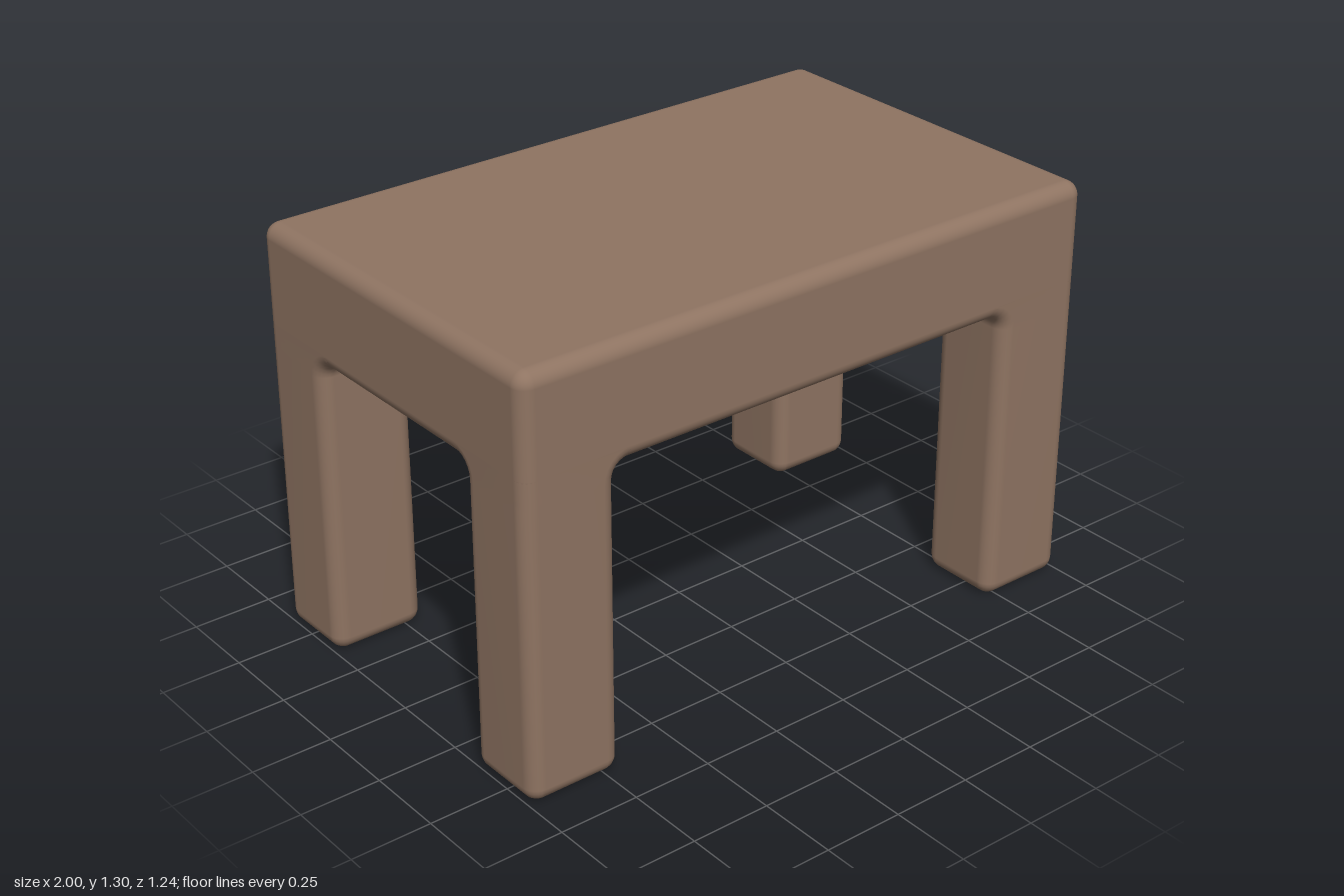
import * as THREE from 'three';
import { RoundedBoxGeometry } from 'three/addons/geometries/RoundedBoxGeometry.js';

const W = 1, D = 0.62, TOP = 1.3, UNDER = 0.95; // half width, half depth, slab top and underside
const INX = 0.7, INZ = 0.35;                    // inner faces of the legs
const R = 0.045, F = 0.045;                     // edge rounding, fillet under the slab
const N = 6;                                    // segments per quarter arc

// Leg lofted from rounded rectangles; its inner faces flare into the slab's underside
function legGeometry(sx, sz) {
  const corners = [[W - R, D - R], [INX + R, D - R], [INX + R, INZ + R], [W - R, INZ + R]];
  const section = [];
  corners.forEach(([cx, cz], corner) => {
    for (let i = 0; i <= N; i++) {
      const a = (corner + i / N) * Math.PI / 2;
      section.push({ cx, cz, nx: Math.cos(a), nz: Math.sin(a), corner });
    }
  });

  const pos = [], index = [], count = section.length;
  const add = (x, y, z) => pos.push(x * sx, y, z * sz);
  const tri = (a, b, c) => (sx * sz > 0 ? index.push(a, b, c) : index.push(a, c, b));

  // rounded foot
  for (let j = 0; j <= N; j++) {
    const t = (1 - j / N) * Math.PI / 2;
    for (const p of section) {
      add(p.cx + R * Math.cos(t) * p.nx, R - R * Math.sin(t), p.cz + R * Math.cos(t) * p.nz);
    }
  }
  // shaft and fillet: the rounded outer edges follow the fillet concentrically
  for (let j = 0; j <= N; j++) {
    const t = j / N * Math.PI / 2;
    for (const { cx, cz, nx, nz, corner } of section) {
      let x = cx + R * nx, z = cz + R * nz;
      let depth = R;
      if (corner === 1) depth = R * (1 + nx);
      if (corner === 2) depth = 0;
      if (corner === 3) depth = R * (1 + nz);
      const flare = (F + depth) * (1 - Math.cos(t));
      if (corner === 1) x -= flare;
      if (corner === 2) { x += flare * nx; z += flare * nz; }
      if (corner === 3) z -= flare;
      add(x, UNDER - F + (F + depth) * Math.sin(t), z);
    }
  }
  const rows = 2 * (N + 1);
  for (let j = 0; j < rows - 1; j++) {
    for (let i = 0; i < count; i++) {
      const k = (i + 1) % count;
      const a = j * count + i, b = j * count + k;
      tri(a, a + count, b);
      tri(b, a + count, b + count);
    }
  }
  // sole
  const centre = pos.length / 3;
  add((W + INX) / 2, 0, (D + INZ) / 2);
  for (let i = 0; i < count; i++) tri(centre, i, (i + 1) % count);

  const geometry = new THREE.BufferGeometry();
  geometry.setAttribute('position', new THREE.Float32BufferAttribute(pos, 3));
  geometry.setIndex(index);
  geometry.computeVertexNormals();
  return geometry;
}

export function createModel() {
  const group = new THREE.Group();
  group.name = 'table';
  const wood = new THREE.MeshStandardMaterial({ color: 0x8f7462 });

  // thick table top
  const top = new THREE.Mesh(new RoundedBoxGeometry(2 * W, TOP - UNDER, 2 * D, N, R), wood);
  top.position.y = (TOP + UNDER) / 2;
  top.name = 'tableTop';
  group.add(top);

  // four legs, flush with the outer faces
  for (const sx of [1, -1]) {
    for (const sz of [1, -1]) {
      const leg = new THREE.Mesh(legGeometry(sx, sz), wood);
      leg.name = (sz > 0 ? 'front' : 'back') + (sx > 0 ? 'Left' : 'Right') + 'Leg';
      group.add(leg);
    }
  }
  return group;
}
